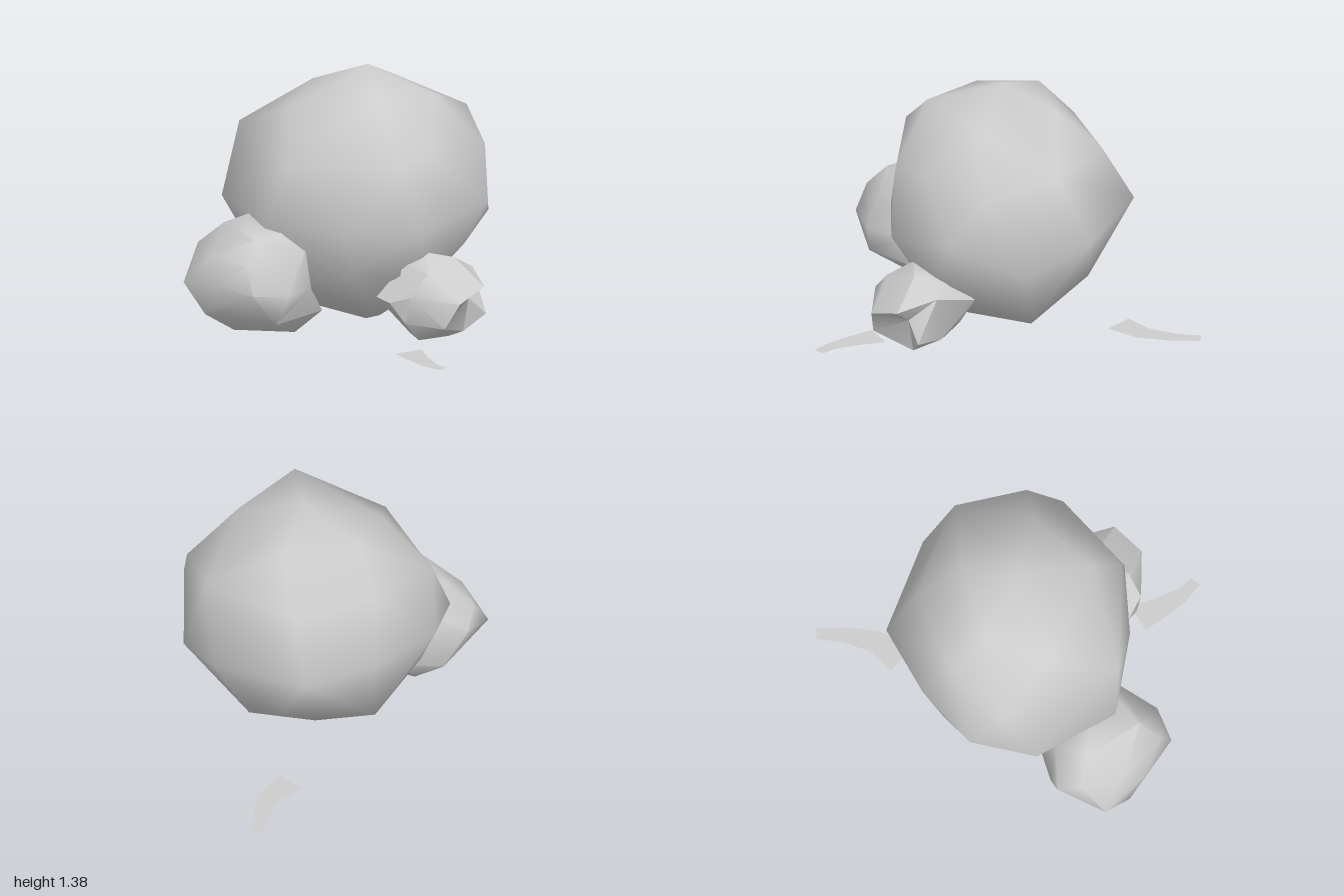
import * as THREE from 'three';
import { ConvexGeometry } from 'three/addons/geometries/ConvexGeometry.js';
import { toCreasedNormals } from 'three/addons/utils/BufferGeometryUtils.js';

const vec = (p) => new THREE.Vector3(...p);

// Convex stone with normals swept from its centre, so it shades like a ball
function roundStone(points, center) {
  const geo = new ConvexGeometry(points.map(vec));
  const pos = geo.attributes.position, nor = geo.attributes.normal, c = vec(center);
  const n = new THREE.Vector3();
  for (let i = 0; i < pos.count; i++) {
    n.fromBufferAttribute(pos, i).sub(c).normalize();
    nor.setXYZ(i, n.x, n.y, n.z);
  }
  return geo;
}

// Stone that may have dents: corners are joined as seen from the centre, then set to their own distance
function dentedStone(points, center, crease) {
  const c = vec(center);
  const corners = points.map(vec);
  const dirs = corners.map((p) => p.clone().sub(c).normalize());
  const geo = new ConvexGeometry(dirs);
  const pos = geo.attributes.position, v = new THREE.Vector3();
  for (let i = 0; i < pos.count; i++) {
    v.fromBufferAttribute(pos, i);
    let best = 0;
    dirs.forEach((d, k) => { if (d.dot(v) > dirs[best].dot(v)) best = k; });
    pos.setXYZ(i, corners[best].x, corners[best].y, corners[best].z);
  }
  return toCreasedNormals(geo, crease);
}

// Flat strip on the ground between two edges of [x, z] points, split along the middle
function groundBlade(left, right) {
  const pos = [], index = [];
  left.forEach(([lx, lz], i) => {
    const [rx, rz] = right[i];
    pos.push(lx, 0, lz, (lx + rx) / 2, 0, (lz + rz) / 2, rx, 0, rz);
    if (i === 0) return;
    for (let k = 0; k < 2; k++) {
      const a = (i - 1) * 3 + k, b = a + 3;
      index.push(a, a + 1, b, a + 1, b + 1, b);
    }
  });
  // make the strip face up
  const cross = (right[0][0] - left[0][0]) * (left[1][1] - left[0][1])
    - (right[0][1] - left[0][1]) * (left[1][0] - left[0][0]);
  if (cross > 0) index.reverse();
  const geo = new THREE.BufferGeometry();
  geo.setAttribute('position', new THREE.Float32BufferAttribute(pos, 3));
  geo.setIndex(index);
  geo.computeVertexNormals();
  return geo;
}

export function createModel() {
  const group = new THREE.Group();
  const stone = new THREE.MeshStandardMaterial({ color: 0xcccccc, side: THREE.DoubleSide });
  stone.name = 'stoneGrey';
  const add = (name, geo) => {
    const mesh = new THREE.Mesh(geo, stone);
    mesh.name = name;
    group.add(mesh);
  };

  // Large boulder, from crown to base
  add('largeBoulder', roundStone([
    [0.11, 1.385, 0.06], [0.21, 1.31, 0.45], [0.47, 1.26, 0.14], [0.18, 1.26, -0.23], [-0.2, 1.25, -0.09],
    [-0.28, 1.19, 0.25], [0.59, 1.08, -0.29], [-0.575, 1.04, 0.03], [0.1, 1.02, -0.465], [-0.3, 1.03, -0.26],
    [0.735, 0.975, 0.08], [-0.25, 0.97, 0.62], [0.35, 0.98, 0.6], [0.5, 1.0, 0.42],
    [0.775, 0.72, 0.27], [-0.645, 0.68, 0.21], [0.01, 0.7, -0.62], [0.525, 0.67, -0.455],
    [-0.61, 0.75, -0.145], [-0.325, 0.7, -0.41], [0.09, 0.62, 0.66], [0.47, 0.62, 0.61], [-0.375, 0.65, 0.61],
    [0.725, 0.55, -0.14], [0.64, 0.46, 0.2], [0.1, 0.4, 0.63], [-0.5, 0.38, 0.1],
    [0.2, 0.32, -0.4], [-0.31, 0.3, -0.3], [0.45, 0.3, 0.41], [-0.3, 0.28, 0.43],
    [-0.34, 0.15, 0.2], [0.38, 0.11, -0.12], [0.03, 0.09, -0.12], [-0.16, 0.08, 0.15],
    [0.2, 0.07, 0.27], [0.11, 0.005, 0.12],
  ], [0.07, 0.69, 0.03]));

  // Medium rock with an undercut front face
  add('mediumRock', dentedStone([
    [-0.8, 0.305, 0.58], [-0.74, 0.49, 0.45], [-0.6, 0.61, 0.47], [-0.465, 0.665, 0.47],
    [-0.21, 0.605, 0.55], [-0.15, 0.51, 0.6], [-0.12, 0.3, 0.6], [-0.075, 0.155, 0.5],
    [-0.22, 0.03, 0.5], [-0.43, 0.01, 0.42], [-0.53, 0.06, 0.6], [-0.67, 0.17, 0.7],
    [-0.39, 0.335, 0.905], [-0.6, 0.35, 0.78], [-0.21, 0.32, 0.82], [-0.28, 0.16, 0.82],
    [-0.4, 0.6, 0.74], [-0.43, 0.48, 0.85], [-0.65, 0.47, 0.67], [-0.725, 0.41, 0.32],
    [-0.6, 0.2, 0.28], [-0.3, 0.5, 0.3], [-0.52, 0.52, 0.3], [-0.2, 0.2, 0.25], [-0.4, 0.25, 0.2],
  ], [-0.43, 0.34, 0.55], 1.1));

  // Small jagged rock with notches
  add('smallRock', dentedStone([
    [0.22, 0.255, 0.55], [0.35, 0.43, 0.5], [0.48, 0.49, 0.49], [0.62, 0.465, 0.47],
    [0.79, 0.33, 0.54], [0.7, 0.25, 0.49], [0.785, 0.15, 0.43], [0.59, 0.03, 0.47], [0.67, 0.06, 0.47],
    [0.48, 0.01, 0.42], [0.39, 0.05, 0.5], [0.45, 0.04, 0.6], [0.39, 0.15, 0.68], [0.3, 0.25, 0.64],
    [0.42, 0.3, 0.7], [0.68, 0.27, 0.69], [0.6, 0.13, 0.69], [0.7, 0.38, 0.34],
    [0.66, 0.13, 0.32], [0.5, 0.29, 0.165], [0.45, 0.13, 0.25], [0.5, 0.42, 0.29],
    [0.33, 0.27, 0.35], [0.35, 0.4, 0.42], [0.5, 0.41, 0.63], [0.34, 0.33, 0.56],
  ], [0.5, 0.25, 0.47], 0.65));

  // Bent blades lying flat on the ground
  add('frontBlade', groundBlade(
    [[0.34, 0.73], [0.42, 0.83], [0.51, 0.93], [0.61, 1]],
    [[0.47, 0.64], [0.525, 0.78], [0.59, 0.905], [0.645, 0.95]]));
  add('backBlade', groundBlade(
    [[0.04, -0.595], [0.14, -0.71], [0.185, -0.85], [0.195, -1]],
    [[0.17, -0.5], [0.255, -0.66], [0.27, -0.83], [0.255, -1]]));
  return group;
}
